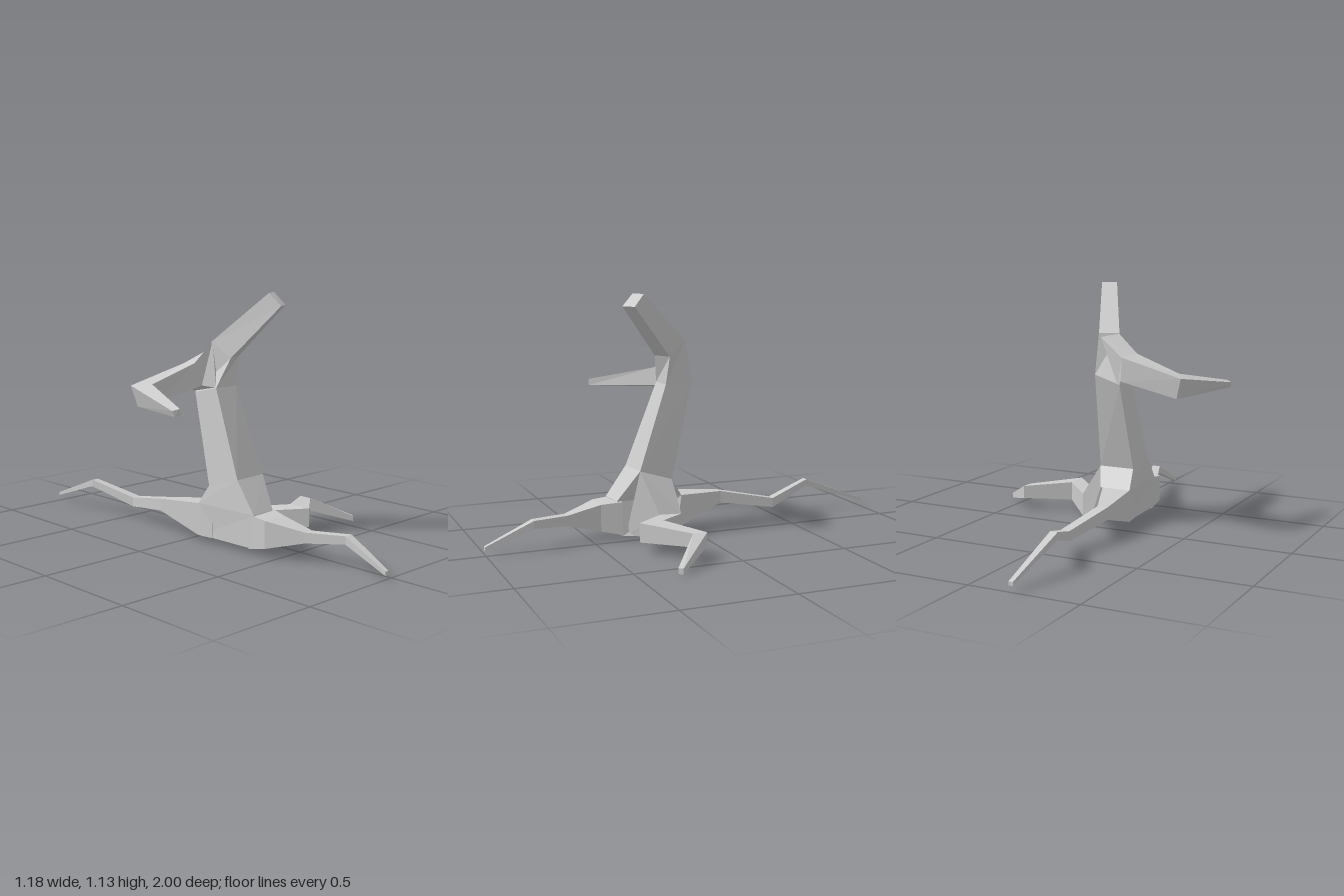
import * as THREE from 'three';

const material = new THREE.MeshStandardMaterial({ color: 0xcccccc, flatShading: true });

// Skins a chain of four-cornered rings and closes both ends.
function loft(name, rings) {
  const tris = [];
  const quad = (a, b, c, d) => tris.push([a, b, c], [a, c, d]);
  for (let i = 0; i < rings.length - 1; i++) {
    for (let j = 0; j < 4; j++) {
      const k = (j + 1) % 4;
      quad(rings[i][j], rings[i][k], rings[i + 1][k], rings[i + 1][j]);
    }
  }
  const last = rings[rings.length - 1];
  quad(rings[0][3], rings[0][2], rings[0][1], rings[0][0]);
  quad(last[0], last[1], last[2], last[3]);

  // Signed volume tells whether the skin faces outward.
  const v = (p) => new THREE.Vector3(...p);
  let volume = 0;
  for (const [a, b, c] of tris) volume += v(a).dot(v(b).cross(v(c)));
  if (volume < 0) tris.forEach((t) => t.reverse());

  const geometry = new THREE.BufferGeometry();
  geometry.setAttribute('position', new THREE.Float32BufferAttribute(tris.flat(2), 3));
  geometry.computeVertexNormals();
  const mesh = new THREE.Mesh(geometry, material);
  mesh.name = name;
  return mesh;
}

// Ring across z: left and right x, bottom and top y.
const ringZ = (z, x0, x1, y0, y1) => [[x0, y0, z], [x1, y0, z], [x1, y1, z], [x0, y1, z]];

// Ring standing on two plan points a and b, each [x, z].
const ringXZ = (a, b, y0, y1) => [
  [a[0], y0, a[1]], [b[0], y0, b[1]], [b[0], y1, b[1]], [a[0], y1, a[1]],
];

export function createModel() {
  const tree = new THREE.Group();
  tree.name = 'deadTree';

  // Trunk: corners run front right, front left, back left, back right
  tree.add(loft('trunk', [
    [[-0.18, 0.03, 0.38], [-0.03, 0.02, 0.36], [0.03, 0.015, 0.12], [-0.19, 0.03, 0.06]],
    [[-0.18, 0.18, 0.39], [-0.05, 0.18, 0.38], [-0.05, 0.18, 0.06], [-0.2, 0.18, 0.06]],
    [[-0.18, 0.32, 0.29], [-0.01, 0.32, 0.28], [-0.02, 0.27, 0.12], [-0.19, 0.27, 0.12]],
    [[-0.165, 0.71, 0.14], [-0.04, 0.71, 0.14], [-0.045, 0.72, 0.01], [-0.17, 0.68, 0.01]],
    [[-0.105, 0.84, 0.17], [-0.015, 0.84, 0.13], [-0.05, 0.91, 0.04], [-0.135, 0.91, 0.08]],
    [[0.01, 1.075, 0.365], [0.075, 1.075, 0.33], [0.055, 1.13, 0.28], [-0.01, 1.13, 0.31]],
  ]));

  // Side branch: corners run front top, front bottom, back bottom, back top
  tree.add(loft('sideBranch', [
    [[-0.13, 0.91, 0.08], [-0.16, 0.71, 0.135], [-0.16, 0.68, 0.01], [-0.06, 0.89, 0.04]],
    [[-0.23, 0.82, 0.07], [-0.2, 0.72, 0.085], [-0.19, 0.7, -0.02], [-0.2, 0.81, -0.03]],
    [[-0.45, 0.745, 0.04], [-0.42, 0.66, 0.04], [-0.47, 0.642, -0.035], [-0.495, 0.735, -0.05]],
    [[-0.565, 0.688, 0.345], [-0.56, 0.658, 0.345], [-0.583, 0.655, 0.335], [-0.592, 0.68, 0.33]],
  ]));

  // Roots
  tree.add(loft('backRoot', [
    ringZ(0.14, -0.19, -0.02, 0.03, 0.22),
    ringZ(0.06, -0.2, -0.06, 0.03, 0.18),
    ringZ(-0.19, -0.21, -0.16, 0.1, 0.157),
    ringZ(-0.455, -0.16, -0.117, 0.062, 0.107),
    ringZ(-0.685, -0.23, -0.195, 0.135, 0.168),
    ringZ(-1, -0.207, -0.187, 0.03, 0.046),
  ]));
  tree.add(loft('frontRoot', [
    ringZ(0.36, -0.18, -0.03, 0.025, 0.18),
    ringZ(0.455, -0.18, -0.055, 0.045, 0.17),
    ringZ(0.615, -0.1, -0.053, 0.087, 0.135),
    ringZ(0.785, -0.036, 0.005, 0.105, 0.141),
    ringZ(1, -0.04, -0.02, 0.02, 0.038),
  ]));
  tree.add(loft('leftRoot', [
    [[-0.05, 0.015, 0.12], [-0.04, 0.02, 0.34], [-0.01, 0.32, 0.28], [-0.02, 0.27, 0.12]],
    ringXZ([0.07, 0.11], [0.055, 0.21], 0.015, 0.125),
    ringXZ([0.205, 0.25], [0.21, 0.365], 0.05, 0.138),
    ringXZ([0.412, 0.13], [0.41, 0.195], 0.06, 0.121),
    ringXZ([0.587, 0.312], [0.572, 0.33], 0.003, 0.028),
  ]));

  return tree;
}
